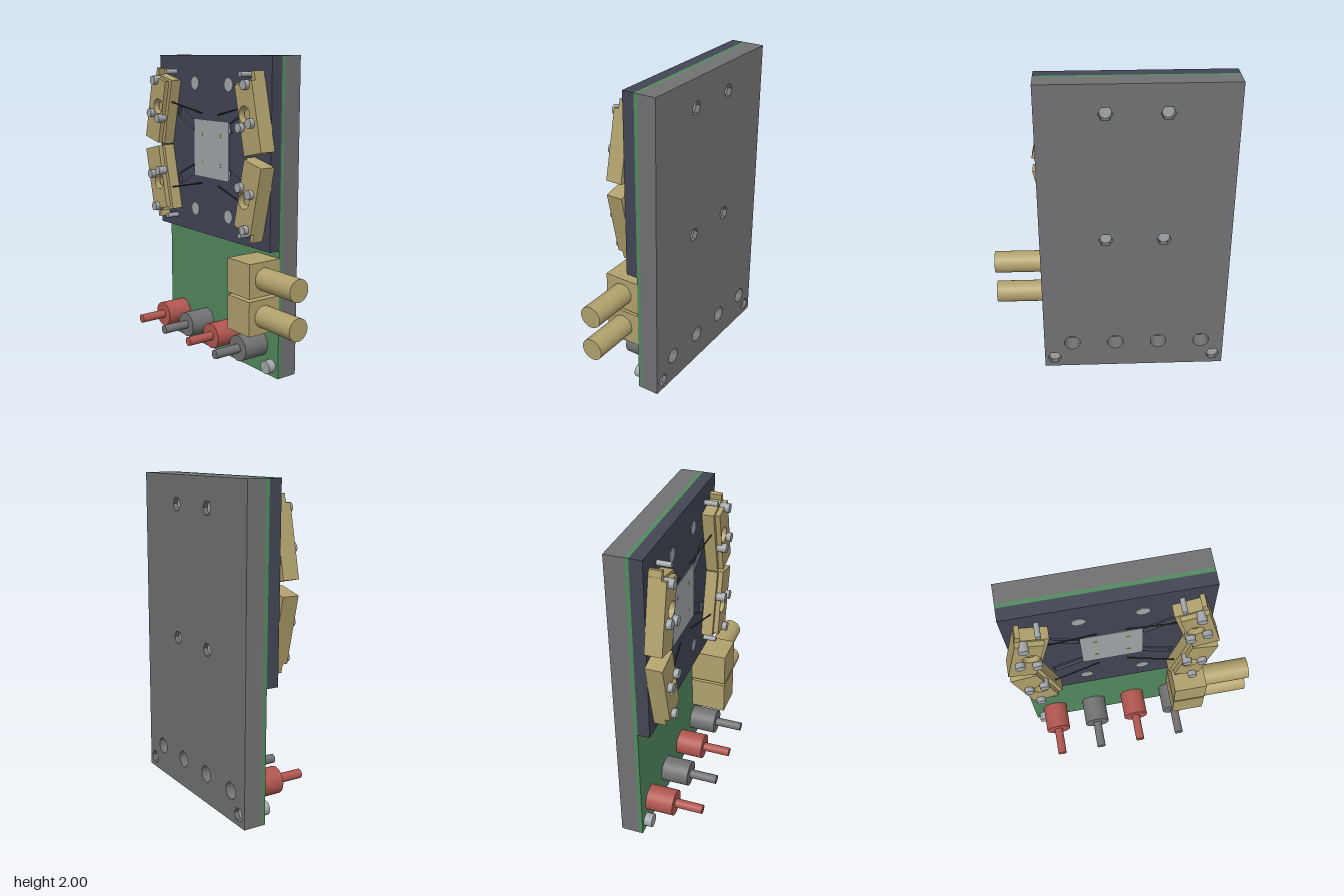
import * as THREE from 'three';

const mat = (name, color) => Object.assign(new THREE.MeshStandardMaterial({ color }), { name });

export function createModel() {
  const M = {
    base: mat('base grey', 0x717173),
    board: mat('board green', 0x53895f),
    dark: mat('dark slate', 0x424654),
    brass: mat('brass', 0xb1a16d),
    silver: mat('silver', 0xa2a7ab),
    red: mat('red', 0xb0564f),
    wire: mat('wire black', 0x2c2e34),
  };
  const root = new THREE.Group();
  const CX = -0.14, CY = 1.4; // centre of the test area

  const add = (parent, name, geo, material, x = 0, y = 0, z = 0) => {
    const m = new THREE.Mesh(geo, material);
    m.name = name;
    m.position.set(x, y, z);
    parent.add(m);
    return m;
  };
  // box given by its limits
  const box = (parent, name, material, x0, x1, y0, y1, z0, z1) =>
    add(parent, name, new THREE.BoxGeometry(x1 - x0, y1 - y0, z1 - z0), material,
      (x0 + x1) / 2, (y0 + y1) / 2, (z0 + z1) / 2);
  // cylinder along z
  const rod = (parent, name, material, x, y, r, z0, z1, sides = 32) =>
    add(parent, name, new THREE.CylinderGeometry(r, r, z1 - z0, sides).rotateX(Math.PI / 2),
      material, x, y, (z0 + z1) / 2);
  // rectangular plate with holes
  const plate = (parent, name, material, x0, x1, y0, y1, z0, z1, holes) => {
    const s = new THREE.Shape([[x0, y0], [x1, y0], [x1, y1], [x0, y1]].map(p => new THREE.Vector2(...p)));
    s.holes.push(...holes);
    const geo = new THREE.ExtrudeGeometry(s, { depth: z1 - z0, bevelEnabled: false, curveSegments: 24 });
    return add(parent, name, geo, material, 0, 0, z0);
  };
  const round = (x, y, r) => new THREE.Path().absarc(x, y, r, 0, Math.PI * 2, true);
  const hex = (x, y, r) => new THREE.Path(Array.from({ length: 6 }, (_, i) =>
    new THREE.Vector2(x + r * Math.cos(i * Math.PI / 3), y + r * Math.sin(i * Math.PI / 3))));

  const sockets = [-0.585, -0.3, -0.015, 0.27];
  const plateBolts = [[-0.315, 1.82], [0.045, 1.82], [-0.315, 0.985], [0.045, 0.985]];
  const cornerBolts = [[-0.67, 0.07], [0.39, 0.07]];

  // base plate with socket clearances and hexagonal nut pockets
  plate(root, 'basePlate', M.base, -0.735, 0.455, 0, 2, -0.25, -0.132, [
    ...sockets.map(x => round(x, 0.19, 0.052)),
    ...[...plateBolts, ...cornerBolts].map(([x, y]) => hex(x, y, 0.045)),
  ]);
  box(root, 'circuitBoard', M.board, -0.735, 0.455, 0, 2, -0.132, -0.107);

  // dark carrier plate, with four shallow slots running to the chip
  const slots = [];
  for (const sx of [1, -1]) for (const sy of [1, -1])
    slots.push(new THREE.Path([[-0.36, 0.27], [-0.17, 0.17], [-0.19, 0.11], [-0.38, 0.2]]
      .map(([x, y]) => new THREE.Vector2(CX + sx * x, CY + sy * y))));
  box(root, 'carrierLower', M.dark, -0.735, 0.455, 0.83, 2, -0.107, -0.05);
  plate(root, 'carrierUpper', M.dark, -0.735, 0.455, 0.83, 2, -0.05, -0.03, slots);

  // bolts and their nuts
  for (const [x, y] of plateBolts) {
    rod(root, 'carrierBolt', M.silver, x, y, 0.041, -0.04, -0.026);
    rod(root, 'nut', M.silver, x, y, 0.036, -0.225, -0.132);
  }
  for (const [x, y] of cornerBolts) {
    rod(root, 'cornerBolt', M.silver, x, y, 0.043, -0.107, -0.055);
    rod(root, 'nut', M.silver, x, y, 0.036, -0.225, -0.132);
  }

  // chip with four contact pads
  box(root, 'chip', M.silver, CX - 0.186, CX + 0.186, CY - 0.186, CY + 0.186, -0.04, -0.026);
  for (const sx of [1, -1]) for (const sy of [1, -1])
    rod(root, 'contactPad', M.brass, CX + sx * 0.098, CY + sy * 0.096, 0.012, -0.03, -0.024, 16);

  // power sockets with pins
  sockets.forEach((x, i) => {
    const m = i % 2 ? M.base : M.red;
    rod(root, 'socket', m, x, 0.19, 0.083, -0.107, 0.07, 40);
    rod(root, 'socketPin', m, x, 0.19, 0.029, 0.07, 0.25, 24);
  });

  // side connectors
  for (const [y0, y1] of [[0.565, 0.782], [0.328, 0.547]]) {
    box(root, 'connectorBlock', M.brass, 0.24, 0.455, y0, y1, -0.107, 0.128);
    const c = add(root, 'connectorBarrel',
      new THREE.CylinderGeometry(0.071, 0.071, 0.31, 40), M.brass, 0.61, (y0 + y1) / 2, 0.012);
    c.rotation.z = Math.PI / 2;
  }

  // four probe holders mirrored around the chip; local +u points inward, +v outward along y
  for (const sx of [1, -1]) for (const sy of [1, -1]) {
    const g = new THREE.Group();
    g.name = 'probeHolder';
    g.position.set(CX - sx * 0.486, CY + sy * 0.24, 0);
    g.rotation.z = -0.223 * sx * sy;
    root.add(g);
    const span = (u0, u1, v0, v1) => [
      Math.min(sx * u0, sx * u1), Math.max(sx * u0, sx * u1),
      Math.min(sy * v0, sy * v1), Math.max(sy * v0, sy * v1)];
    const bore = () => round(sx * 0.013, sy * 0.022, 0.05);

    box(g, 'holderBase', M.brass, ...span(-0.096, 0.096, -0.221, 0.221), -0.03, 0.01);
    plate(g, 'holderBody', M.brass, ...span(-0.096, 0.096, -0.221, 0.221), 0.01, 0.045, [bore()]);
    plate(g, 'holderCover', M.brass, ...span(-0.096, 0.068, -0.221, 0.205), 0.045, 0.075, [bore()]);
    box(g, 'holderTab', M.brass, ...span(-0.094, -0.066, 0.221, 0.26), -0.03, 0.045);
    rod(g, 'holderBoss', M.brass, sx * 0.013, sy * 0.022, 0.03, 0.01, 0.05, 24);
    for (const [u, v] of [[-0.046, 0.187], [-0.044, -0.04], [0.056, -0.05]])
      rod(g, 'holderBolt', M.silver, sx * u, sy * v, 0.029, 0.045, 0.105, 24);

    // set screw beside the holder
    rod(root, 'setScrew', M.silver, CX - sx * 0.4, CY + sy * 0.49, 0.016, -0.03, 0.055, 16);

    // probe needle descending towards the chip
    const needle = new THREE.LineCurve3(
      new THREE.Vector3(CX - sx * 0.43, CY + sy * 0.3, 0.028),
      new THREE.Vector3(CX - sx * 0.085, CY + sy * 0.228, -0.02));
    add(root, 'probeNeedle', new THREE.TubeGeometry(needle, 1, 0.005, 8), M.wire);
  }
  return root;
}
